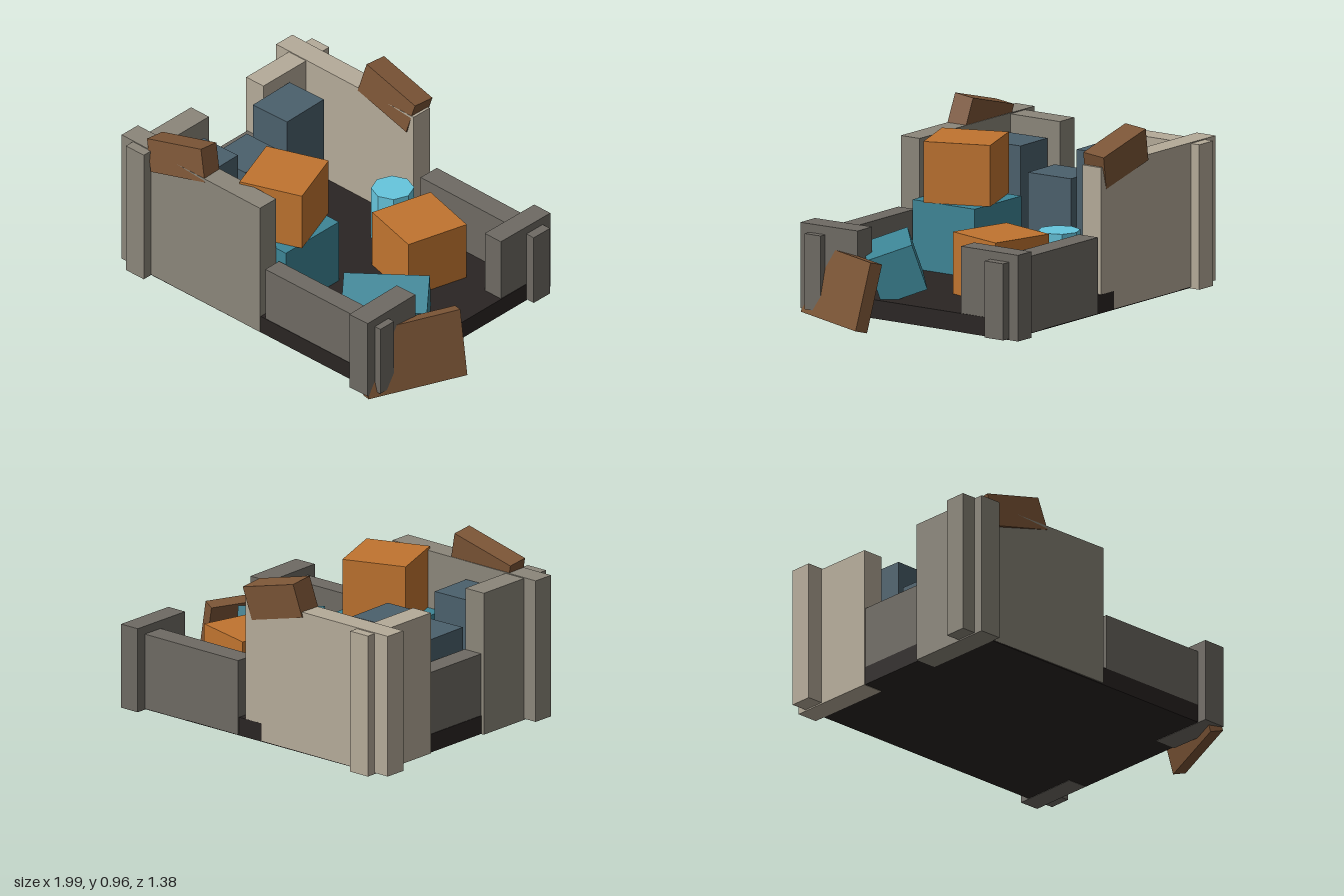
import * as THREE from 'three';

const COLORS = {
  floor: 0x2a2523, lightWall: 0xb5ab99, midWall: 0x8b867a, lowWall: 0x6e6a63,
  wood: 0x7d5637, orange: 0xc0742f, teal: 0x3d8596, slate: 0x4b606c, cyan: 0x66c6de,
};
const materials = {};
for (const key in COLORS) {
  materials[key] = new THREE.MeshStandardMaterial({ color: COLORS[key], flatShading: true });
}

export function createModel() {
  const model = new THREE.Group();
  model.name = 'ruinedRoom';

  const add = (name, geometry, color, position, rotation = [0, 0, 0]) => {
    const mesh = new THREE.Mesh(geometry, materials[color]);
    mesh.name = name;
    mesh.position.set(...position);
    mesh.rotation.set(...rotation, 'YXZ');
    model.add(mesh);
  };
  // Box from size, centre and rotation
  const box = (name, color, size, position, rotation) =>
    add(name, new THREE.BoxGeometry(...size), color, position, rotation);
  // Upright box from its x, y and z ranges, with an optional slight yaw
  const block = (name, color, [x0, x1], [y0, y1], [z0, z1], yaw = 0) =>
    box(name, color, [x1 - x0, y1 - y0, z1 - z0],
      [(x0 + x1) / 2, (y0 + y1) / 2, (z0 + z1) / 2], [0, yaw, 0]);

  block('floor', 'floor', [-0.9, 0.765], [0.04, 0.138], [-0.632, 0.632]);

  // Tall walls, overlapping at the corners
  block('frontTallWall', 'midWall', [-0.995, -0.02], [0.045, 0.805], [0.515, 0.635], -0.008);
  block('backTallWall', 'lightWall', [-0.995, -0.025], [0.045, 0.8], [-0.635, -0.515], -0.008);
  block('sideTallWallFront', 'midWall', [-0.915, -0.79], [0.038, 0.8], [0.2, 0.685]);
  block('sideTallWallBack', 'lightWall', [-0.905, -0.785], [0.038, 0.795], [-0.69, -0.2]);

  // Low walls, with a doorway left open on one side
  block('sideLowWall', 'lowWall', [-0.897, -0.785], [0.045, 0.47], [-0.2, 0.2]);
  block('frontLowWall', 'lowWall', [0.01, 0.815], [0.045, 0.44], [0.528, 0.63]);
  block('backLowWall', 'lowWall', [0.015, 0.815], [0.045, 0.445], [-0.637, -0.517], -0.01);
  block('doorwayWallFront', 'lowWall', [0.648, 0.775], [0.038, 0.485], [0.325, 0.685], 0.015);
  block('doorwayWallBack', 'lowWall', [0.65, 0.763], [0.038, 0.488], [-0.69, -0.325], -0.01);

  // Broken wooden pieces on the walls and a panel leaning by the doorway
  box('frontBrokenBeam', 'wood', [0.38, 0.18, 0.115], [-0.615, 0.815, 0.575], [-0.12, 0, 0.26]);
  box('backBrokenBeam', 'wood', [0.36, 0.18, 0.13], [-0.22, 0.82, -0.58], [-0.1, 0, -0.26]);
  box('leaningPanel', 'wood', [0.07, 0.36, 0.55], [0.815, 0.185, 0.395], [0, -0.4, 0.25]);

  // Row of cabinets along the side wall
  const cabinets = [[-0.38, -0.1, 0.74], [-0.06, 0.21, 0.58], [0.26, 0.51, 0.71]];
  cabinets.forEach(([z0, z1, top], i) =>
    block(`cabinet${i + 1}`, 'slate', [-0.765, -0.53], [0.13, top], [z0, z1], 0.02));

  // Crates and barrel
  block('lowerCrate', 'teal', [-0.355, 0.045], [0.13, 0.498], [0.12, 0.515]);
  box('upperCrate', 'orange', [0.345, 0.32, 0.355], [-0.15, 0.658, 0.32], [0, 0.36, 0]);
  box('floorCrate', 'orange', [0.35, 0.33, 0.35], [0.285, 0.297, -0.225], [0, -0.26, 0]);
  box('tippedCrate', 'teal', [0.44, 0.245, 0.245], [0.52, 0.265, 0.275], [0.33, 0.69, 0]);
  add('barrel', new THREE.CylinderGeometry(0.11, 0.11, 0.31, 8), 'cyan', [-0.03, 0.285, -0.36]);

  return model;
}
